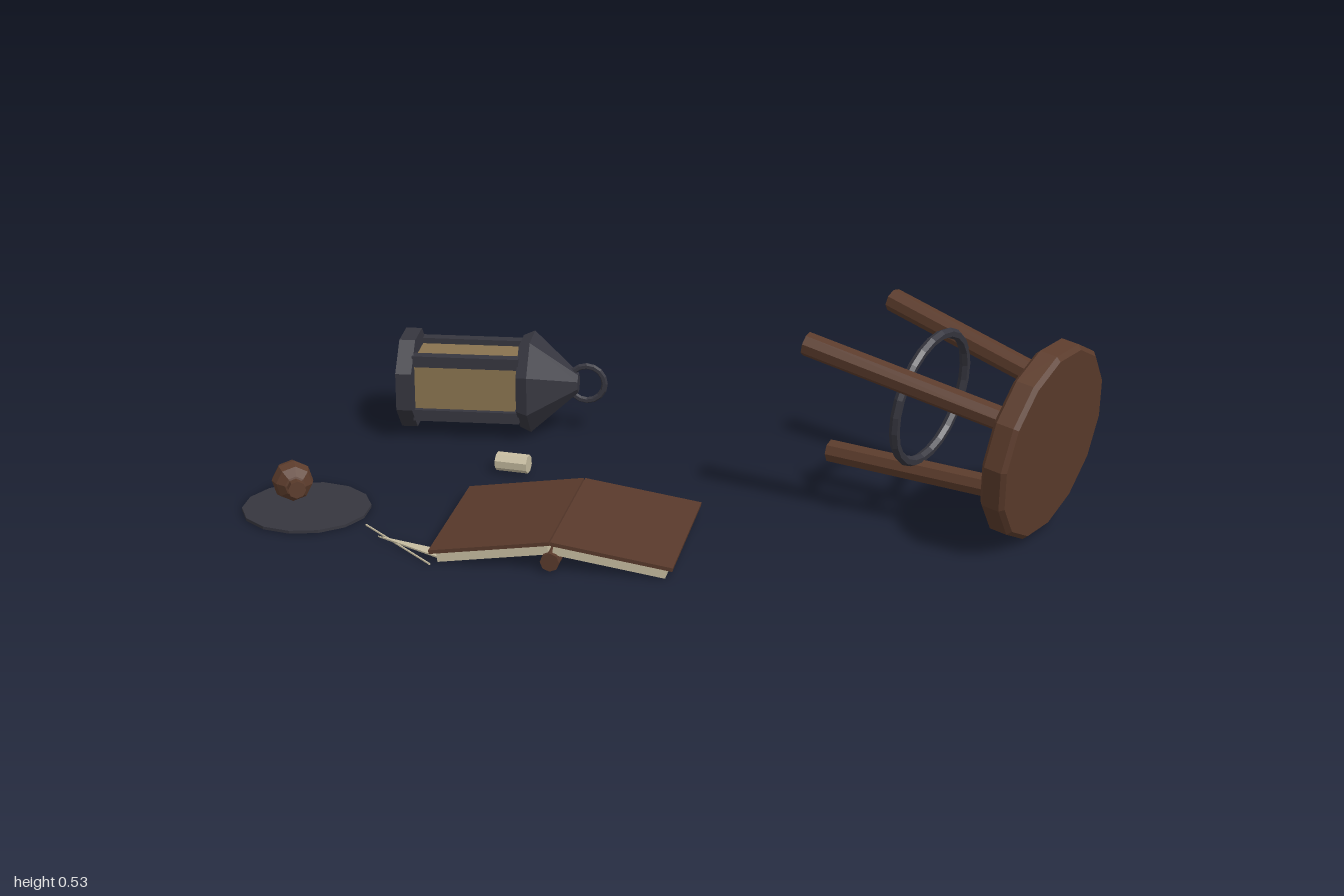
import * as THREE from 'three';

const mat = (name, color) => {
  const m = new THREE.MeshStandardMaterial({ color });
  m.name = name;
  return m;
};

export function createModel() {
  const wood = mat('brown wood', 0x5c3c2c);
  const leather = mat('brown leather', 0x58392b);
  const iron = mat('dark iron', 0x36363f);
  const glass = mat('amber glass', 0x89734f);
  const cream = mat('cream', 0xc6bca0);
  const model = new THREE.Group();

  const group = (name, parent = model) => {
    const g = new THREE.Group();
    g.name = name;
    parent.add(g);
    return g;
  };
  // Adds a faceted mesh
  const add = (parent, name, geo, material, x = 0, y = 0, z = 0) => {
    const flat = geo.index ? geo.toNonIndexed() : geo;
    flat.computeVertexNormals();
    const m = new THREE.Mesh(flat, material);
    m.name = name;
    m.position.set(x, y, z);
    parent.add(m);
    return m;
  };
  const cyl = (rTop, rBottom, h, n) => new THREE.CylinderGeometry(rTop, rBottom, h, n);
  const box = (w, h, d) => new THREE.BoxGeometry(w, h, d);
  // Rod between two points
  const rod = (parent, name, a, b, r, n, material) => {
    const d = b.clone().sub(a);
    const m = add(parent, name, cyl(r, r, d.length(), n), material);
    m.position.copy(a).add(b).multiplyScalar(0.5);
    m.quaternion.setFromUnitVectors(new THREE.Vector3(0, 1, 0), d.normalize());
    return m;
  };
  const V = (x, y, z) => new THREE.Vector3(x, y, z);

  // Overturned stool, built upright and tipped on its side
  const stool = group('stool');
  stool.position.set(0.925, 0.27, -0.43);
  stool.rotation.z = -(Math.PI / 2 + 0.135);
  const rim = [[0, -0.035], [0.253, -0.035], [0.265, -0.024], [0.265, 0.024], [0.253, 0.035], [0, 0.035]];
  add(stool, 'seat', new THREE.LatheGeometry(rim.map(p => new THREE.Vector2(...p)), 14), wood);
  for (let i = 0; i < 3; i++) {
    const a = i * Math.PI * 2 / 3, c = Math.cos(a), s = Math.sin(a);
    rod(stool, 'leg', V(0.165 * c, -0.02, 0.165 * s), V(0.255 * c, -0.6, 0.255 * s), 0.032, 8, wood);
  }
  add(stool, 'footRing', new THREE.TorusGeometry(0.178, 0.014, 6, 24), iron, 0, -0.333, 0).rotation.x = Math.PI / 2;

  // Lantern lying on its side
  const lantern = group('lantern');
  lantern.position.set(-0.936, 0.147, -0.12);
  lantern.rotation.set(0, 0.506, -Math.PI / 2, 'YXZ');
  const octagon = (name, rTop, rBottom, y0, y1) => {
    add(lantern, name, cyl(rTop, rBottom, y1 - y0, 8), iron, 0, (y0 + y1) / 2, 0).rotation.y = Math.PI / 8;
  };
  octagon('lanternBase', 0.14, 0.14, 0, 0.045);
  octagon('lanternEave', 0.144, 0.13, 0.338, 0.37);
  octagon('lanternRoof', 0.028, 0.144, 0.37, 0.5);
  add(lantern, 'lanternGlass', box(0.16, 0.283, 0.16), glass, 0, 0.1865, 0);
  for (const x of [-0.08, 0.08]) {
    for (const z of [-0.08, 0.08]) add(lantern, 'lanternPost', box(0.032, 0.3, 0.032), iron, x, 0.192, z);
  }
  add(lantern, 'lanternRing', new THREE.TorusGeometry(0.051, 0.009, 6, 16), iron, 0, 0.523, 0);

  // Open book lying face down
  const book = group('book');
  book.position.set(-0.064, 0, 0.278);
  book.rotation.y = 0.43;
  for (const side of [1, -1]) {
    const half = group('bookHalf', book);
    half.position.y = 0.082;
    half.rotation.z = -side * 0.148;
    add(half, 'cover', box(0.316, 0.01, 0.44), leather, side * 0.16, -0.005, 0);
    add(half, 'pages', box(0.292, 0.027, 0.42), cream, side * 0.156, -0.0235, 0);
  }
  rod(book, 'spine', V(0, 0.027, -0.222), V(0, 0.027, 0.222), 0.025, 8, leather);

  // Candle stub
  rod(model, 'candleStub', V(-0.504, 0.029, 0.007), V(-0.418, 0.029, -0.021), 0.026, 8, cream);

  // Dark puddle with the tipped pot on it
  add(model, 'puddle', cyl(0.171, 0.171, 0.008, 14), iron, -0.75, 0.004, 0.515);
  const pot = group('pot');
  pot.position.set(-0.815, 0.06, 0.495);
  pot.quaternion.setFromUnitVectors(V(0, 1, 0), V(0.74, 0.02, 0.6).normalize());
  add(pot, 'potBody', new THREE.SphereGeometry(0.056, 8, 6), wood);
  add(pot, 'potNeck', cyl(0.024, 0.022, 0.04, 8), wood, 0, 0.057, 0);

  // Quill: thin shaft and a flat vane
  const quill = group('quill');
  rod(quill, 'quillShaft', V(-0.54, 0.006, 0.519), V(-0.24, 0.008, 0.626), 0.003, 6, cream);
  const vane = new THREE.Shape([[-0.46, -0.567], [-0.25, -0.585], [-0.285, -0.545]].map(p => new THREE.Vector2(...p)));
  add(quill, 'quillVane', new THREE.ExtrudeGeometry(vane, { depth: 0.004, bevelEnabled: false }), cream, 0, 0.008, 0)
    .rotation.x = -Math.PI / 2;

  return model;
}
